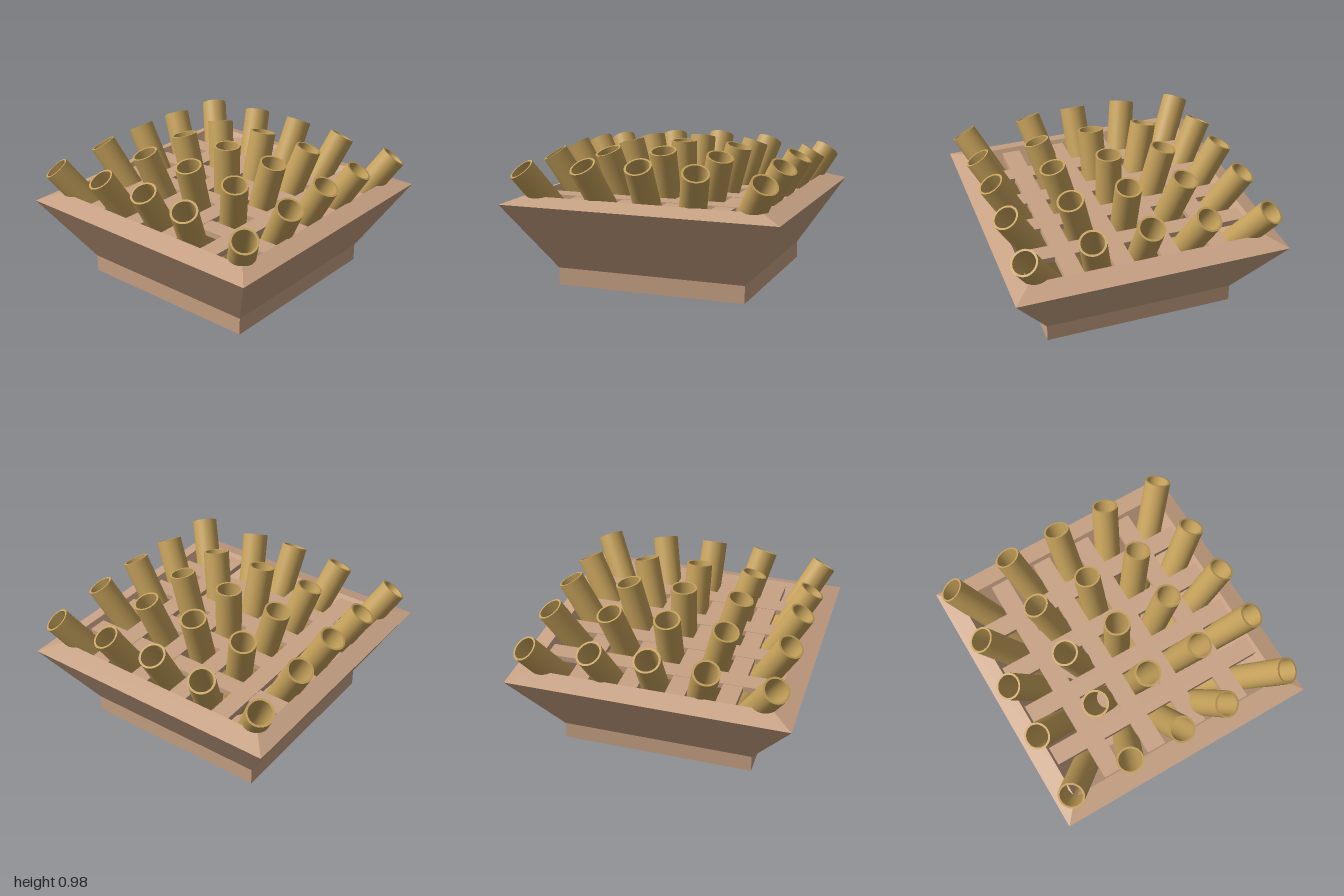
import * as THREE from 'three';
import { toCreasedNormals } from 'three/addons/utils/BufferGeometryUtils.js';

const wood = new THREE.MeshStandardMaterial({ color: 0xc8a284 });
wood.name = 'wood';
const cardboard = new THREE.MeshStandardMaterial({ color: 0xc4a05a });
cardboard.name = 'cardboard';

// Rectangular rings [halfX, halfZ, y] joined by flat sides, closed at both ends
function ringSolid(rings) {
  const pos = [];
  const corners = ([a, b, y]) => [[a, y, b], [a, y, -b], [-a, y, -b], [-a, y, b]];
  const quad = (a, b, c, d) => [a, b, c, a, c, d].forEach((p) => pos.push(...p));
  const loops = rings.map(corners);
  for (let i = 0; i < loops.length - 1; i++) {
    for (let k = 0; k < 4; k++) {
      const n = (k + 1) % 4;
      quad(loops[i][k], loops[i][n], loops[i + 1][n], loops[i + 1][k]);
    }
  }
  const [a, b, c, d] = loops[0];
  quad(d, c, b, a);
  quad(...loops[loops.length - 1]);
  const geo = new THREE.BufferGeometry();
  geo.setAttribute('position', new THREE.Float32BufferAttribute(pos, 3));
  geo.computeVertexNormals();
  return geo;
}

// Open tube whose top centre sits at the origin, hanging down the y axis
function tubeGeometry(length) {
  const outer = 0.095, inner = 0.08;
  const profile = [[outer, -length], [outer, 0], [inner, 0], [inner, -length], [outer, -length]]
    .map(([r, y]) => new THREE.Vector2(r, y));
  return toCreasedNormals(new THREE.LatheGeometry(profile, 28), 0.6);
}

export function createModel() {
  const model = new THREE.Group();
  model.name = 'tubeTray';

  // Plinth, flared walls, sloping rim, inner walls and floor
  const tray = new THREE.Mesh(ringSolid([
    [0.69, 0.69, 0], [0.69, 0.69, 0.125], [1, 0.97, 0.61],
    [0.85, 0.84, 0.66], [0.54, 0.54, 0.13],
  ]), wood);
  tray.name = 'tray';
  model.add(tray);

  // Lattice of crossing slats just below the rim
  const lattice = new THREE.Group();
  lattice.name = 'lattice';
  for (const c of [-0.52, -0.1675, 0.1675, 0.52]) {
    const across = new THREE.Mesh(new THREE.BoxGeometry(1.67, 0.04, 0.138), wood);
    across.name = 'crossSlat';
    across.position.set(0, 0.612, c);
    const along = new THREE.Mesh(new THREE.BoxGeometry(0.138, 0.04, 1.65), wood);
    along.name = 'lengthSlat';
    along.position.set(c, 0.609, 0);
    lattice.add(across, along);
  }
  model.add(lattice);

  // Five by five tubes fanning outwards
  const tubes = new THREE.Group();
  tubes.name = 'tubes';
  const slope = [0, Math.tan(Math.PI / 12), Math.tan(Math.PI / 6.2)];
  const drop = [0, 0.02, 0.065];
  const spot = [0, 0.42, 0.87];
  const up = new THREE.Vector3(0, 1, 0);
  for (let i = -2; i <= 2; i++) {
    for (let k = -2; k <= 2; k++) {
      const ai = Math.abs(i), ak = Math.abs(k);
      const x = Math.sign(i) * (spot[ai] - (ai === 1 && ak === 2 ? 0.015 : 0));
      let z = Math.sign(k) * (spot[ak] - (ak === 1 && ai === 2 ? 0.01 : 0));
      if (i === -2 && k === 1) z = 0.365; // one tube sits a little askew
      const y = 0.98 - drop[ai] - drop[ak];
      const dir = new THREE.Vector3(Math.sign(i) * slope[ai], 1, Math.sign(k) * slope[ak]).normalize();
      const tube = new THREE.Mesh(tubeGeometry((y - 0.15) / dir.y), cardboard);
      tube.name = 'tube';
      tube.position.set(x, y, z);
      tube.quaternion.setFromUnitVectors(up, dir);
      tubes.add(tube);
    }
  }
  model.add(tubes);
  return model;
}
